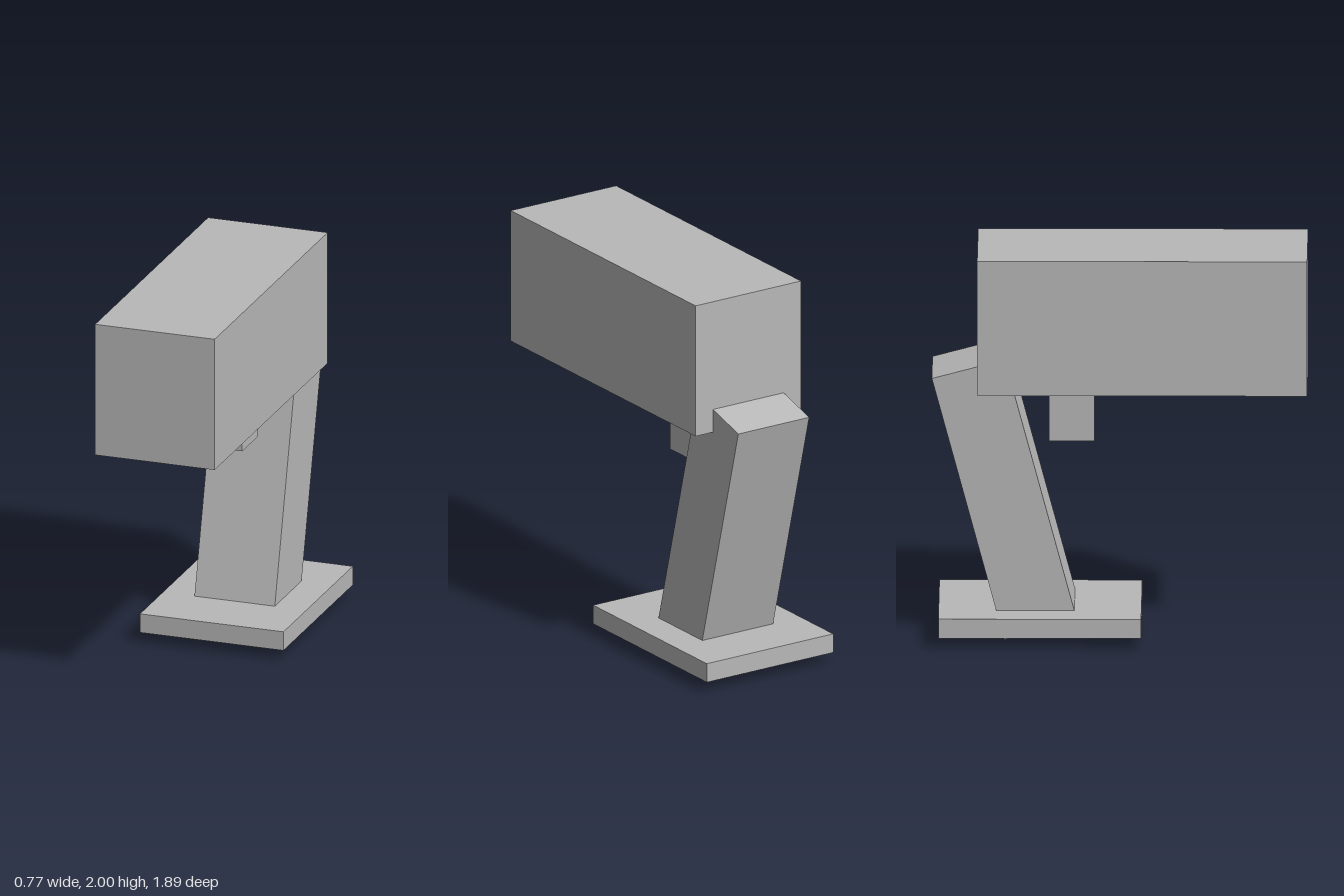
import * as THREE from 'three';

export function createModel() {
  const model = new THREE.Group();
  const grey = new THREE.MeshStandardMaterial({ color: 0xb8b8b8 });
  grey.name = 'grey';

  // Adds a named box of size [w, h, d] centred at [x, y, z]
  function addBox(name, size, position, tilt = 0) {
    const mesh = new THREE.Mesh(new THREE.BoxGeometry(...size), grey);
    mesh.name = name;
    mesh.position.set(...position);
    mesh.rotation.x = tilt;
    model.add(mesh);
  }

  // Long main housing
  addBox('body', [0.64, 0.7, 1.66], [0, 1.65, 0.115]);
  // Grip leaning back, passing through the base plate
  addBox('handle', [0.43, 1.408, 0.38], [0, 0.73, -0.578], -Math.PI / 12);
  // Trigger block below the housing
  addBox('trigger', [0.154, 0.28, 0.228], [0, 1.14, -0.241]);
  // Flat foot plate
  addBox('base', [0.768, 0.1, 1.02], [0, 0.103, -0.4]);

  return model;
}
